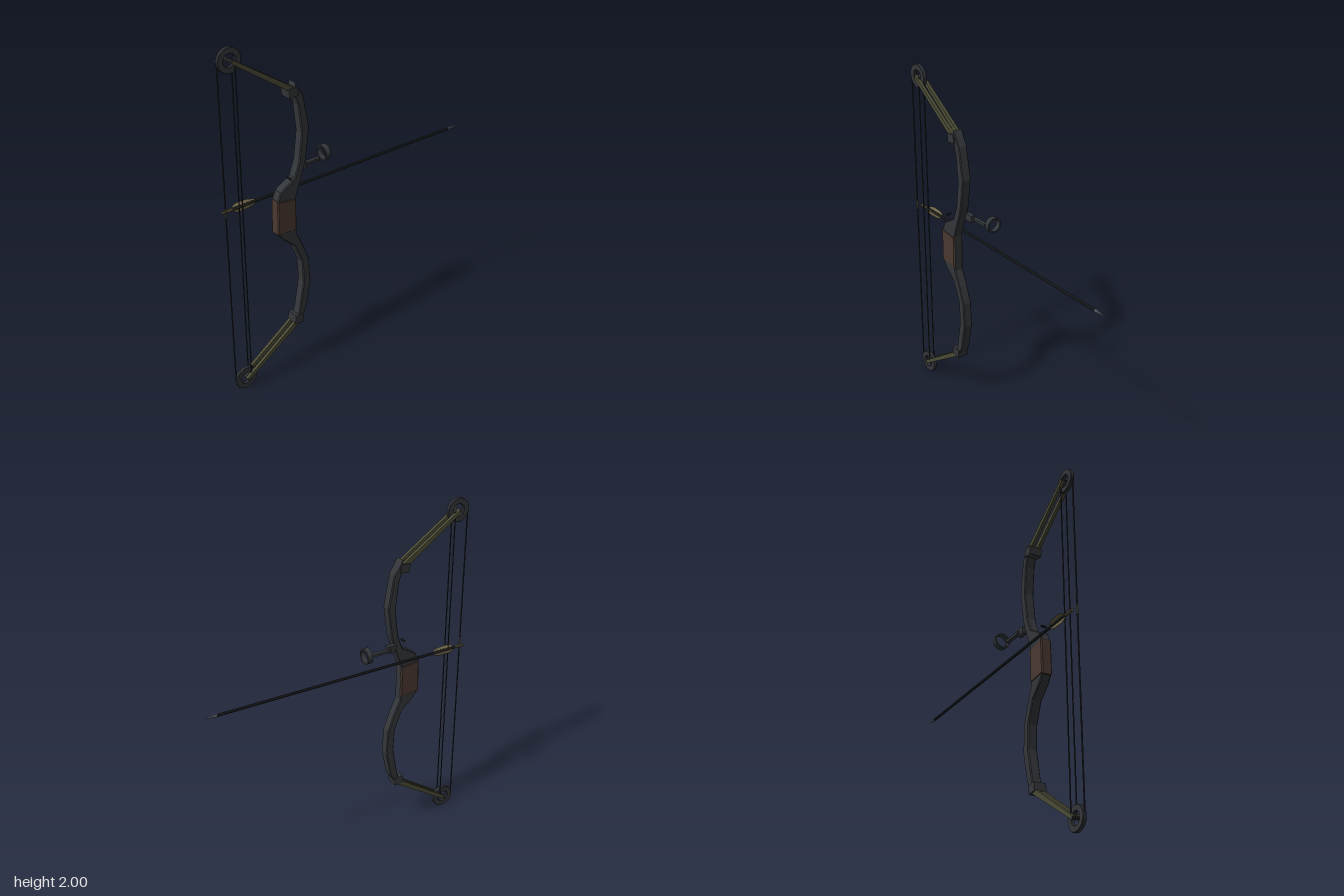
import * as THREE from 'three';

const CX = 0.029;   // mid-plane of the bow
const MIRROR = 2.005; // lower half: y -> MIRROR - y

const mat = (color, extra = {}) =>
  Object.assign(new THREE.MeshStandardMaterial({ color, flatShading: true }), extra);

export function createModel() {
  const group = new THREE.Group();
  const dark = mat(0x33363a), black = mat(0x222427), olive = mat(0x4b4b36);
  const brown = mat(0x4a3831), steel = mat(0x7d828a);
  const vaneMat = mat(0x6b6245, { side: THREE.DoubleSide });

  const add = (name, geo, material, parent = group) => {
    const m = new THREE.Mesh(geo, material);
    m.name = name;
    parent.add(m);
    return m;
  };
  // Side profile of [z, y] points, given a width along x
  const slab = (shape, x, width, bevel = 0) => {
    const g = new THREE.ExtrudeGeometry(shape, {
      depth: width - 2 * bevel, bevelEnabled: bevel > 0, bevelSize: bevel,
      bevelThickness: bevel, bevelOffset: -bevel, bevelSegments: 1, curveSegments: 16,
    });
    g.translate(0, 0, bevel - width / 2);
    g.rotateY(-Math.PI / 2);
    return g.translate(x, 0, 0);
  };
  const poly = pts => new THREE.Shape(pts.map(p => new THREE.Vector2(p[0], p[1])));
  const box = (x0, x1, y0, y1, z0, z1) =>
    new THREE.BoxGeometry(x1 - x0, y1 - y0, z1 - z0)
      .translate((x0 + x1) / 2, (y0 + y1) / 2, (z0 + z1) / 2);
  const ring = (r, hole) => {
    const s = new THREE.Shape().absarc(0, 0, r, 0, Math.PI * 2);
    s.holes.push(new THREE.Path().absarc(0, 0, hole, 0, Math.PI * 2, true));
    return s;
  };

  // Riser: one curved body with a bevelled edge
  const riser = poly([
    [0.38, 1.733], [0.331, 1.65], [0.299, 1.463], [0.324, 1.288], [0.352, 1.2], [0.393, 1.09],
    [0.393, 0.87], [0.355, 0.785], [0.317, 0.68], [0.309, 0.53], [0.342, 0.37], [0.38, 0.3],
    [0.408, 0.31], [0.388, 0.375], [0.357, 0.545], [0.363, 0.68], [0.409, 0.796], [0.482, 0.863],
    [0.507, 0.9], [0.507, 1.098], [0.489, 1.147], [0.398, 1.203], [0.367, 1.288],
    [0.347, 1.447], [0.363, 1.604], [0.392, 1.69],
  ]);
  add('riser', slab(riser, CX, 0.056, 0.005), dark);

  // Grip
  add('grip', slab(poly([[0.393, 1.086], [0.395, 0.892], [0.514, 0.902], [0.51, 1.1]]),
    CX, 0.062, 0.006), brown);

  // Upper and lower limb assemblies
  const a = new THREE.Vector2(0.385, 1.69), b = new THREE.Vector2(0.745, 1.938);
  const dir = b.clone().sub(a).normalize();
  const n = new THREE.Vector2(-dir.y, dir.x);
  const strip = (p, q, h0, h1) => [
    [p.x - n.x * h0, p.y - n.y * h0], [q.x - n.x * h1, q.y - n.y * h1],
    [q.x + n.x * h1, q.y + n.y * h1], [p.x + n.x * h0, p.y + n.y * h0],
  ];
  for (const upper of [true, false]) {
    const tag = upper ? 'upper' : 'lower';
    const half = new THREE.Group();
    half.name = tag + 'Limb';
    group.add(half);
    const fy = y => upper ? y : MIRROR - y;
    const flip = pts => poly(pts.map(p => [p[0], fy(p[1])]));

    add(tag + 'LimbPocket', slab(flip([[0.366, 1.663], [0.421, 1.656], [0.426, 1.705], [0.371, 1.712]]),
      CX, 0.07), dark, half);
    // Split limb blades
    for (const s of [-1, 1])
      add(tag + 'LimbBlade', slab(flip(strip(a, b, 0.015, 0.01)), CX + s * 0.0195, 0.018), olive, half);
    // Wheel, spoke and axle
    const wheel = add(tag + 'Wheel', slab(ring(0.067, 0.034), 0, 0.021, 0.003), dark, half);
    wheel.position.set(CX, fy(1.936), 0.742);
    const inner = b.clone().addScaledVector(dir, -0.045);
    add(tag + 'WheelSpoke', slab(flip(strip(inner, b, 0.008, 0.008)), CX, 0.012), dark, half);
    const axle = add(tag + 'Axle', new THREE.CylinderGeometry(0.008, 0.008, 0.06, 10), dark, half);
    axle.rotation.z = Math.PI / 2;
    axle.position.set(CX, fy(1.936), 0.742);
  }

  // Bowstring with its serving, and two cables
  const line = (name, x, z, r) => add(name,
    new THREE.CylinderGeometry(r, r, 1.865, 6).translate(x, MIRROR / 2, z), black);
  line('bowstring', CX, 0.807, 0.004);
  for (const s of [-1, 1]) line('cable', CX + s * 0.016, 0.716, 0.0035);
  add('stringServing', new THREE.CylinderGeometry(0.005, 0.005, 0.05, 6)
    .translate(CX, 1.13, 0.807), vaneMat);

  // Arrow: shaft, point, nock and three vanes
  const arrow = new THREE.Group();
  arrow.name = 'arrow';
  arrow.position.set(-0.002, 1.119, 0);
  group.add(arrow);
  const rod = (r0, r1, z0, z1) => // r0 at z0, r1 at z1
    new THREE.CylinderGeometry(r1, r0, z1 - z0, 8).rotateX(Math.PI / 2).translate(0, 0, (z0 + z1) / 2);
  add('arrowShaft', rod(0.008, 0.008, -0.735, 0.75), black, arrow);
  add('arrowPoint', rod(0.0005, 0.0085, -0.81, -0.735), steel, arrow);
  add('arrowNock', rod(0.008, 0.0075, 0.75, 0.81), vaneMat, arrow);
  const vane = poly([[0.602, 0], [0.612, 0.016], [0.65, 0.026], [0.715, 0.028], [0.74, 0.018], [0.745, 0]]);
  for (let i = 0; i < 3; i++)
    add('arrowVane', slab(vane, 0, 0.003), vaneMat, arrow).rotation.z = Math.PI + i * Math.PI * 2 / 3;

  // Sight: mount, arm and ring
  const sight = new THREE.Group();
  sight.name = 'sight';
  group.add(sight);
  add('sightMount', box(-0.014, 0.012, 1.205, 1.245, 0.29, 0.345), dark, sight);
  add('sightArm', box(-0.025, -0.004, 1.215, 1.23, 0.188, 0.31), dark, sight);
  const hoop = new THREE.ExtrudeGeometry(ring(0.044, 0.035),
    { depth: 0.03, bevelEnabled: false, curveSegments: 16 });
  add('sightRing', hoop, dark, sight).position.set(-0.031, 1.239, 0.129);

  // Cable pin beside the riser
  add('cablePin', new THREE.CylinderGeometry(0.007, 0.007, 0.03, 8)
    .rotateZ(Math.PI / 2).translate(0.06, 1.218, 0.437), black);

  return group;
}
